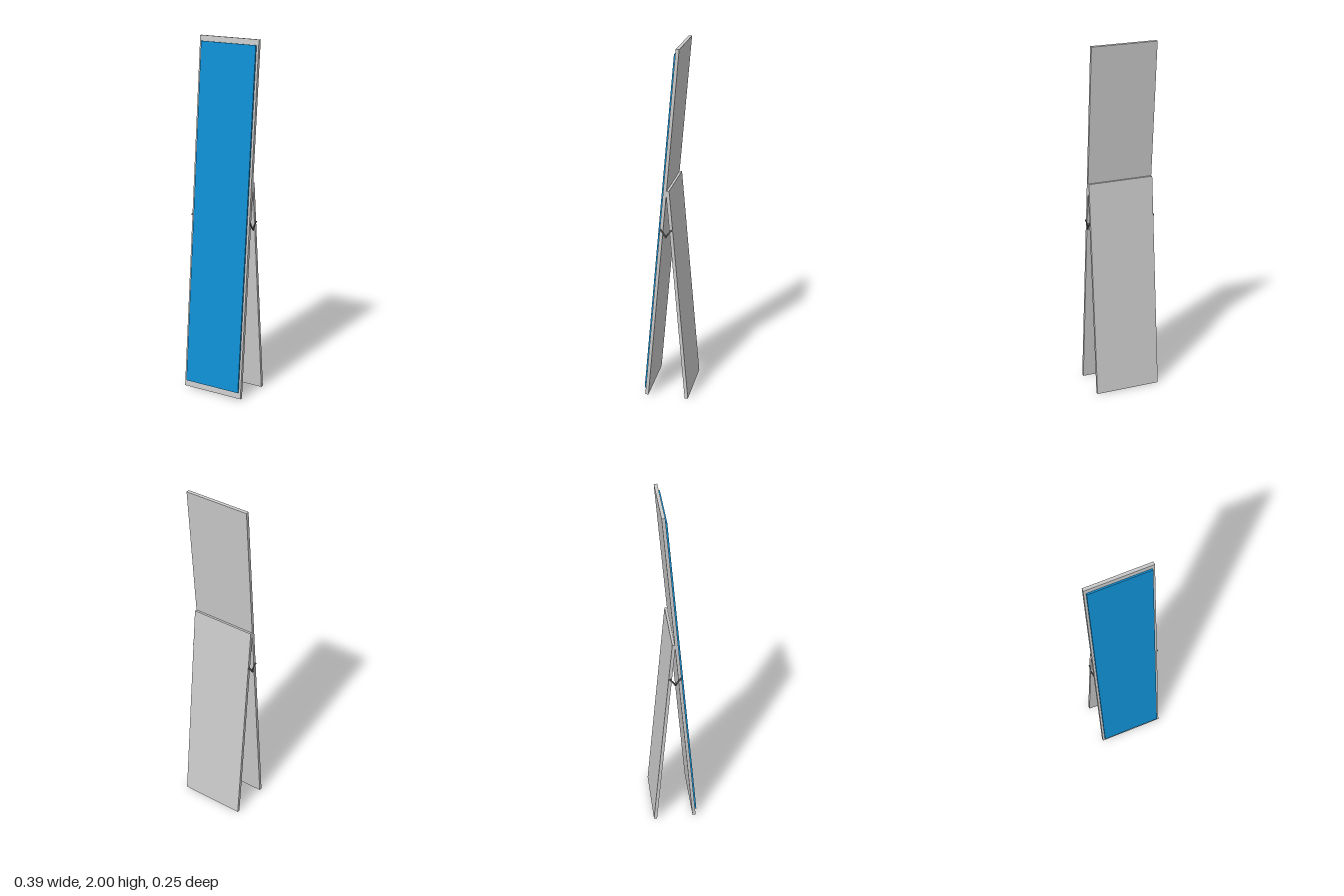
import * as THREE from 'three';

const grey = new THREE.MeshStandardMaterial({ color: 0xcccccc });
const blue = new THREE.MeshStandardMaterial({ color: 0x1090d4 });
const dark = new THREE.MeshStandardMaterial({ color: 0x555555 });

const TILT = THREE.MathUtils.degToRad(5);
const WIDTH = 0.374, THICK = 0.018;

function box(name, size, position, material) {
  const mesh = new THREE.Mesh(new THREE.BoxGeometry(...size), material);
  mesh.name = name;
  mesh.position.set(...position);
  return mesh;
}

// Flat bar between two [y, z] points at a given x
function bar(name, a, b, x) {
  const dy = b[0] - a[0], dz = b[1] - a[1];
  const mesh = box(name, [0.003, Math.hypot(dy, dz) + 0.008, 0.009],
    [x, (a[0] + b[0]) / 2, (a[1] + b[1]) / 2], dark);
  mesh.rotation.x = Math.atan2(dz, dy);
  return mesh;
}

// Rivet lying along x
function rivet([y, z], x) {
  const geometry = new THREE.CylinderGeometry(0.005, 0.005, 0.008, 16);
  geometry.rotateZ(Math.PI / 2);
  const mesh = new THREE.Mesh(geometry, dark);
  mesh.name = 'hingeRivet';
  mesh.position.set(x, y, z);
  return mesh;
}

export function createModel() {
  const model = new THREE.Group();
  model.name = 'foldingDisplayStand';

  // Tall front board with its coloured panel, leaning back
  const front = new THREE.Group();
  front.name = 'frontBoard';
  front.position.set(0, 0.007, 0.119);
  front.rotation.x = -TILT;
  front.add(
    box('board', [WIDTH, 2, THICK], [0, 1, -THICK / 2], grey),
    box('displayPanel', [0.348, 1.934, 0.009], [0, 1.002, 0.0045], blue)
  );
  model.add(front);

  // Shorter rear board, leaning forward against the front one
  const rear = new THREE.Group();
  rear.name = 'rearSupport';
  rear.position.set(0, 0.0016, -0.127);
  rear.rotation.x = TILT;
  rear.add(box('supportBoard', [WIDTH, 1.232, THICK], [0, 0.616, THICK / 2], grey));
  model.add(rear);

  // Folding V-shaped stay on each side
  const frontPin = [1.005, 0.026], rearPin = [1.005, -0.031], elbow = [0.968, -0.002];
  for (const side of [1, -1]) {
    const stay = new THREE.Group();
    stay.name = side > 0 ? 'leftStay' : 'rightStay';
    stay.add(
      bar('frontArm', elbow, frontPin, side * 0.1885),
      bar('rearArm', elbow, rearPin, side * 0.1905)
    );
    for (const pin of [frontPin, rearPin, elbow]) stay.add(rivet(pin, side * 0.19));
    model.add(stay);
  }
  return model;
}
